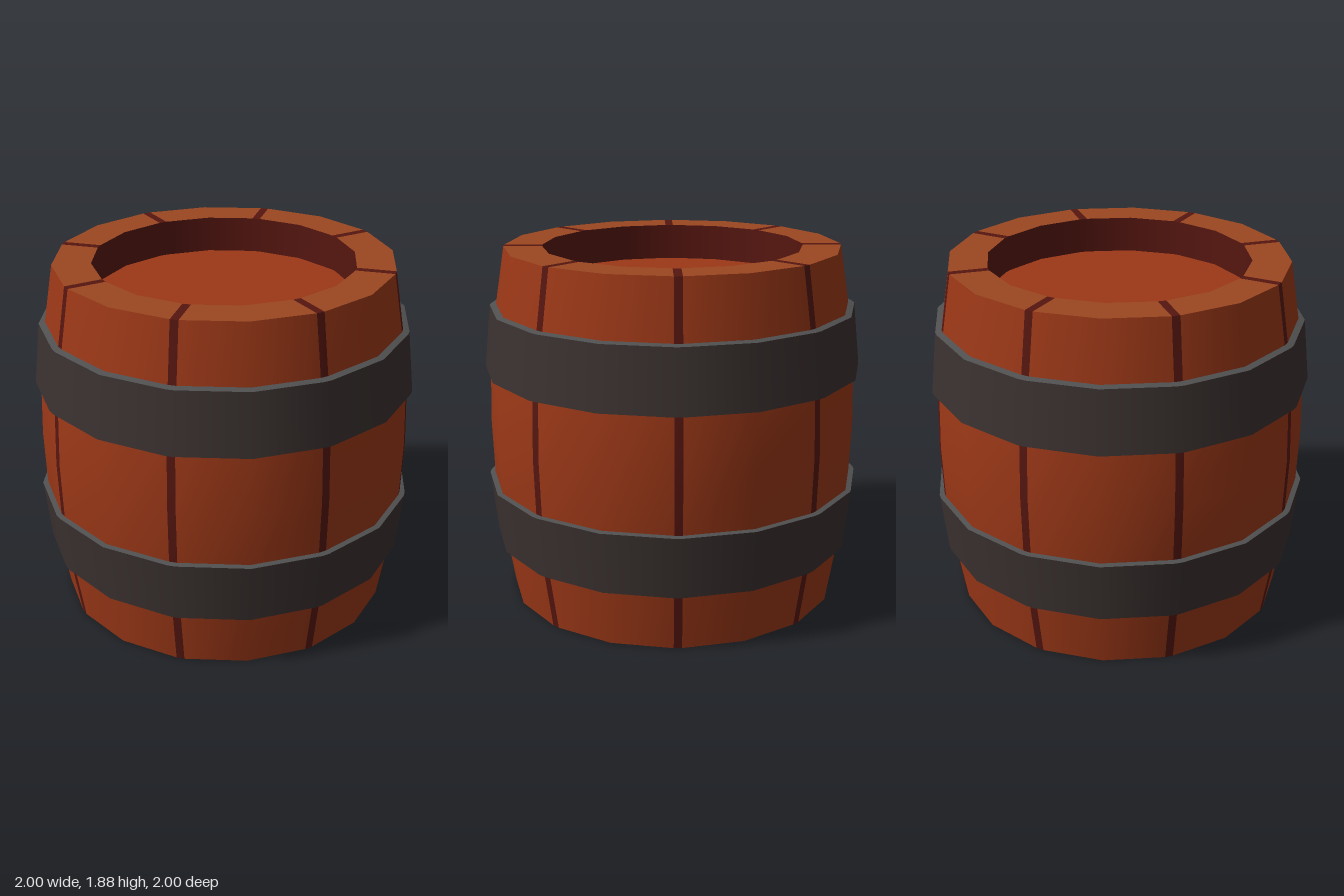
import * as THREE from 'three';

const STAVES = 8;
const STEP = (Math.PI * 2) / STAVES;
const GAP = 0.021; // half width of a seam between staves

// Angle of a seam edge at radius r; side -1 / +1 picks the edge
const seamEdge = (k, side) => (r) => (k + 0.5) * STEP + side * Math.asin(Math.min(1, GAP / Math.max(r, 0.05)));

// Columns of one stave (edge, middle, edge) and of one seam strip
const staveCols = (k) => [seamEdge(k - 1, 1), () => k * STEP, seamEdge(k, -1)];
const seamCols = (k) => [seamEdge(k, -1), seamEdge(k, 1)];

// Sweep a profile of [radius, y] points over sets of columns, smooth around the axis
function sweep(profile, sections) {
  const pos = [], nor = [], idx = [];
  const normals = profile.map((p, i) => {
    const a = profile[Math.max(i - 1, 0)];
    const b = profile[Math.min(i + 1, profile.length - 1)];
    return new THREE.Vector2(b[1] - a[1], a[0] - b[0]).normalize();
  });
  for (const cols of sections) {
    const base = pos.length / 3, n = cols.length;
    profile.forEach(([r, y], i) => {
      for (const col of cols) {
        const a = col(r);
        pos.push(r * Math.sin(a), y, r * Math.cos(a));
        nor.push(normals[i].x * Math.sin(a), normals[i].y, normals[i].x * Math.cos(a));
      }
    });
    for (let i = 0; i < profile.length - 1; i++) {
      for (let j = 0; j < n - 1; j++) {
        const a = base + i * n + j, b = a + 1, c = b + n, d = a + n;
        idx.push(a, b, c, a, c, d);
      }
    }
  }
  const geo = new THREE.BufferGeometry();
  geo.setAttribute('position', new THREE.Float32BufferAttribute(pos, 3));
  geo.setAttribute('normal', new THREE.Float32BufferAttribute(nor, 3));
  geo.setIndex(idx);
  return geo;
}

export function createModel() {
  const mat = (color) => new THREE.MeshStandardMaterial({ color });
  const wood = mat(0x9c3817), rimWood = mat(0x9c4722), dark = mat(0x561610);
  const iron = mat(0x3b3230), ironEdge = mat(0x505050);

  const barrel = new THREE.Group();
  barrel.name = 'barrel';
  const add = (name, profile, sections, material, parent = barrel) => {
    const mesh = new THREE.Mesh(sweep(profile, sections), material);
    mesh.name = name;
    parent.add(mesh);
  };

  const ks = Array.from({ length: STAVES }, (_, k) => k);
  const staves = ks.map(staveCols), seams = ks.map(seamCols);
  const around = [...staves, ...seams];

  // Bulging side and flat top rim, split into staves and dark seams
  const side = [[0.88, 0], [0.93, 0.305], [0.97, 0.64], [0.98, 0.94], [0.97, 1.24], [0.93, 1.575], [0.88, 1.88]];
  const rim = [[0.88, 1.88], [0.68, 1.88]];
  add('staves', side, staves, wood);
  add('staveSeams', side, seams, dark);
  add('topRim', rim, staves, rimWood);
  add('topRimSeams', rim, seams, dark);

  // Recessed lid and closed bottom
  add('recessWall', [[0.68, 1.88], [0.68, 1.69]], around, dark);
  add('lid', [[0.68, 1.69], [0, 1.69]], around, wood);
  add('bottom', [[0, 0], [0.88, 0]], around, wood);

  // Two iron hoops, mirrored about the middle of the barrel
  for (const upper of [true, false]) {
    const hoop = new THREE.Group();
    hoop.name = upper ? 'upperHoop' : 'lowerHoop';
    // A mirrored profile is reversed to keep its outward side
    const place = (p) => (upper ? p : p.map(([r, y]) => [r, 1.88 - y]).reverse());
    const bottomEdge = place([[0.955, 1.235], [0.998, 1.242]]);
    const topEdge = place([[0.963, 1.568], [0.925, 1.577]]);
    add('hoopBand', place([[0.998, 1.242], [0.963, 1.568]]), around, iron, hoop);
    add('hoopUpperEdge', upper ? topEdge : bottomEdge, around, ironEdge, hoop);
    add('hoopLowerEdge', upper ? bottomEdge : topEdge, around, iron, hoop);
    barrel.add(hoop);
  }
  return barrel;
}
